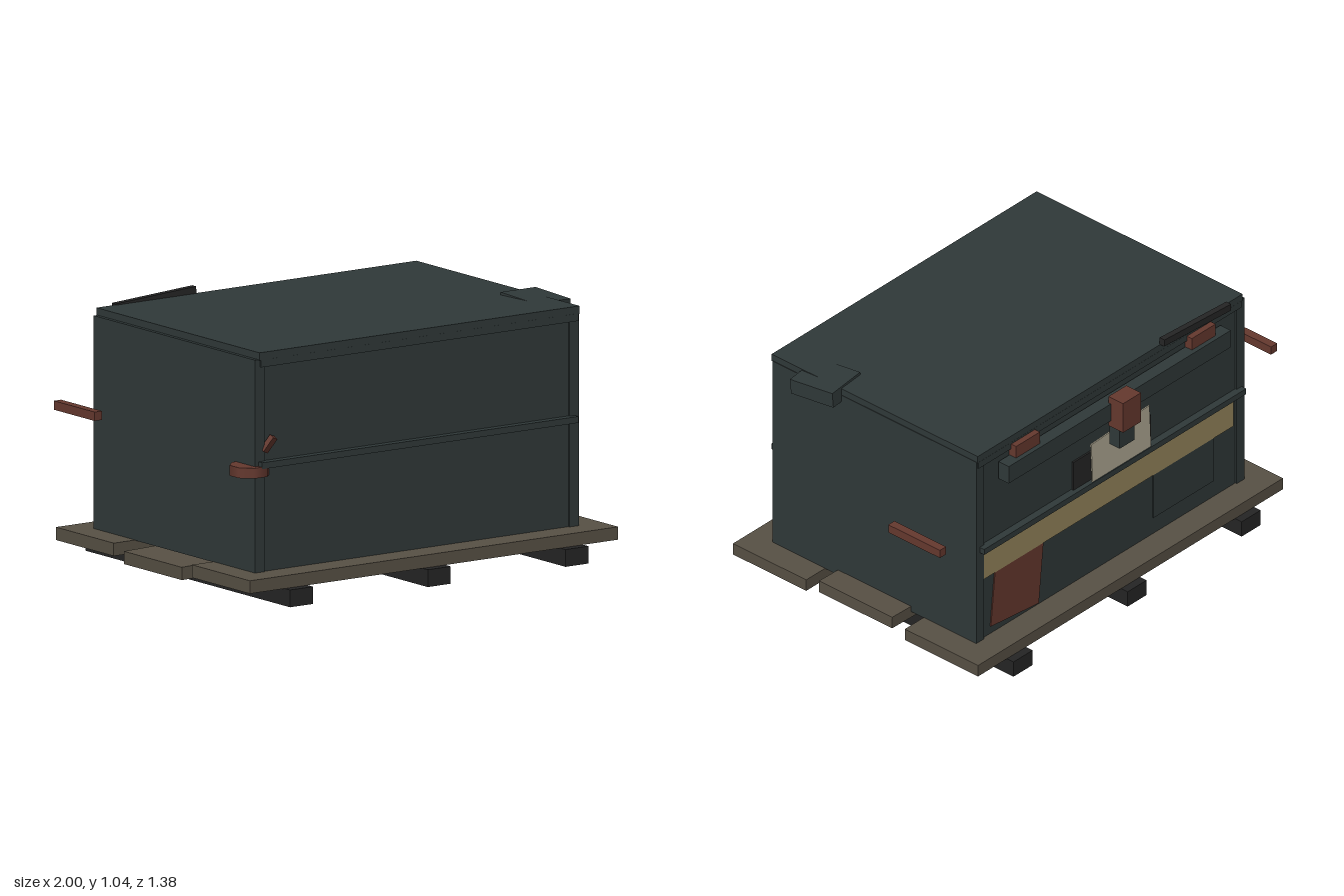
import * as THREE from 'three';

const paint = (name, color) => {
  const m = new THREE.MeshStandardMaterial({ color });
  m.name = name;
  return m;
};

export function createModel() {
  const model = new THREE.Group();
  model.name = 'crateOnPallet';

  const teal = paint('dark teal', 0x303939);
  const rust = paint('rust', 0x66392f);
  const wood = paint('weathered wood', 0x585145);
  const black = paint('charcoal', 0x252525);
  const tan = paint('tan', 0x96855c);
  const cream = paint('cream', 0xb0a994);

  const add = (name, geometry, material, position, rotation = [0, 0, 0]) => {
    const mesh = new THREE.Mesh(geometry, material);
    mesh.name = name;
    mesh.position.set(...position);
    mesh.rotation.set(...rotation);
    model.add(mesh);
    return mesh;
  };
  // box given by its centre and size
  const box = (name, material, size, position, rotation) =>
    add(name, new THREE.BoxGeometry(...size), material, position, rotation);
  // box given by its x, y and z ranges
  const span = (name, material, [x0, x1], [y0, y1], [z0, z1]) =>
    box(name, material, [x1 - x0, y1 - y0, z1 - z0],
      [(x0 + x1) / 2, (y0 + y1) / 2, (z0 + z1) / 2]);

  // pallet: three runners and three planks, the middle plank tilted
  for (const x of [-0.675, 0, 0.675]) box('palletRunner', black, [0.112, 0.07, 1.376], [x, 0.035, 0]);
  for (const z of [-0.458, 0, 0.458])
    box('palletPlank', wood, [1.805, 0.052, 0.39], [0, z ? 0.096 : 0.098, z], [0, 0, z ? 0 : 0.026]);

  // crate body with flush sides and slightly recessed front and back
  span('crateBody', teal, [-0.797, 0.79], [0.12, 0.983], [-0.535, 0.535]);
  for (const x of [-0.774, 0.767])
    for (const z of [-0.52, 0.52])
      box('cornerPost', teal, [0.046, 0.863, 0.046], [x, 0.5515, z]);

  // lid with a lip along front and back
  span('lidTop', teal, [-0.78, 0.788], [0.98, 1.012], [-0.548, 0.55]);
  for (const z of [-0.541, 0.543]) box('lidLip', teal, [1.555, 0.03, 0.015], [0.005, 0.967, z]);

  // rails across the middle of front and back
  for (const z of [-0.55, 0.55]) box('middleRail', teal, [1.55, 0.026, 0.034], [-0.005, 0.557, z]);

  // loose bracket hanging over the lid edge
  box('lidBracket', teal, [0.185, 0.066, 0.21], [0.763, 0.981, 0.285], [0.07, 0.09, -0.03]);

  // carrying bars beside the crate
  for (const x of [-0.98, 0.98]) box('sideHandle', rust, [0.036, 0.036, 0.275], [x, 0.646, -0.398]);

  // corner fitting and a small shard above it
  add('cornerFitting', new THREE.CylinderGeometry(0.082, 0.082, 0.042, 8), rust, [-0.785, 0.531, 0.49], [0, Math.PI / 8, 0]);
  box('rustShard', rust, [0.026, 0.07, 0.024], [-0.735, 0.638, 0.55], [0.4, 0, -0.45]);

  // back: hinges, long bar, lever and clasp
  for (const x of [-0.52, 0.52]) box('hinge', rust, [0.14, 0.105, 0.038], [x, 0.922, -0.556]);
  span('backBar', teal, [-0.658, 0.656], [0.84, 0.92], [-0.595, -0.54]);
  box('lever', black, [0.395, 0.03, 0.026], [-0.492, 1.014, -0.555], [0, 0, 0.06]);
  span('claspTop', rust, [-0.054, 0.052], [0.812, 0.95], [-0.66, -0.582]);
  span('claspCatch', teal, [-0.043, 0.045], [0.722, 0.814], [-0.636, -0.582]);

  // back: stripe, painted panels and paper label
  span('backStripe', tan, [-0.733, 0.75], [0.405, 0.527], [-0.5425, -0.535]);
  box('rustPanel', rust, [0.285, 0.275, 0.006], [0.545, 0.28, -0.537], [0, 0, 0.1]);
  span('accessPlate', teal, [-0.62, -0.26], [0.2, 0.425], [-0.541, -0.533]);
  span('labelBacking', black, [-0.24, 0.22], [0.56, 0.702], [-0.546, -0.538]);
  box('paperLabel', cream, [0.345, 0.2, 0.006], [-0.045, 0.66, -0.56], [0, 0, -0.05]);

  return model;
}
